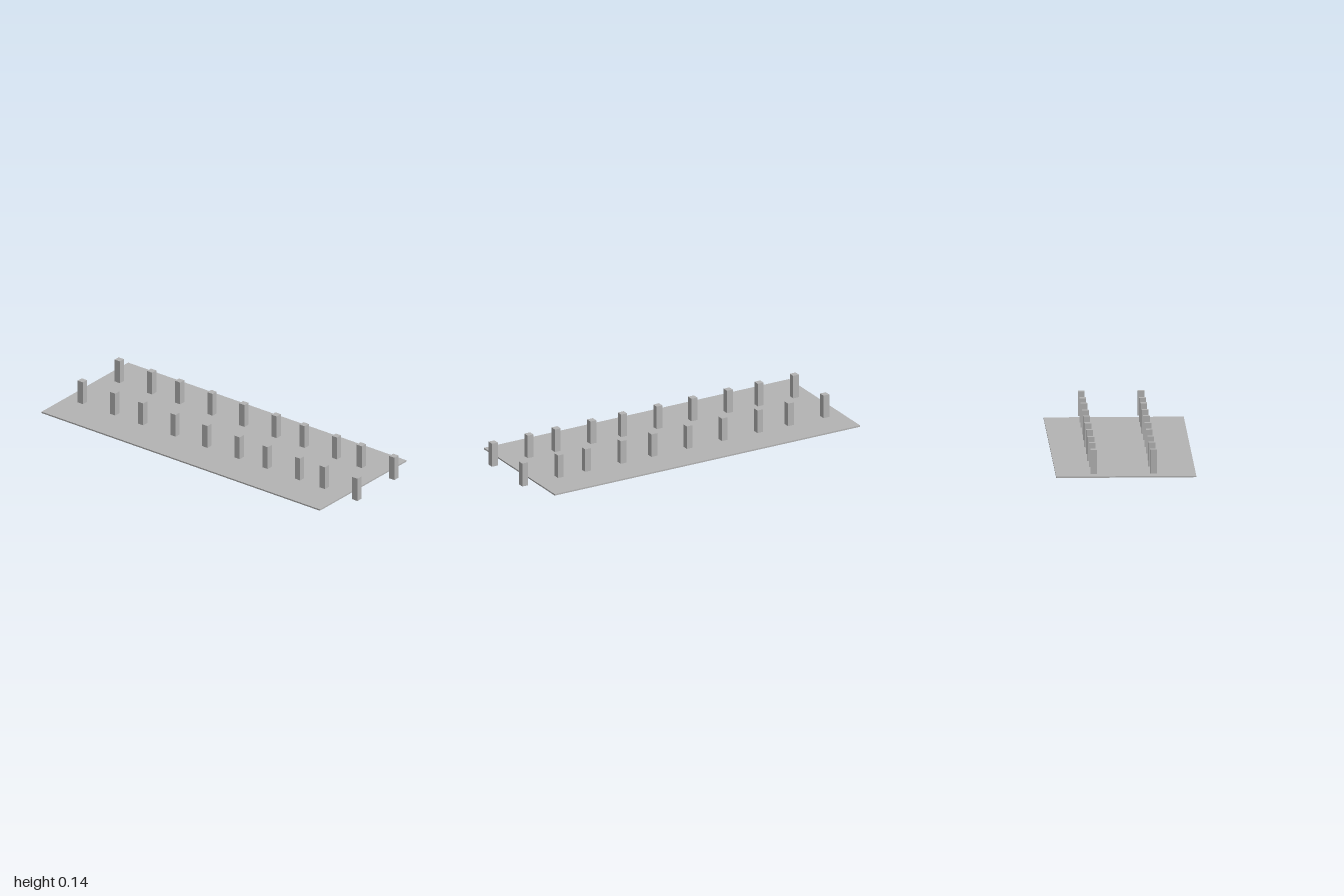
import * as THREE from 'three';

export function createModel() {
  const model = new THREE.Group();
  const grey = new THREE.MeshStandardMaterial({ color: 0xb3b3b3 });
  grey.name = 'plain grey';

  // Thin ground slab, stopping short of the front pair of posts
  const back = -1, front = 0.907, thickness = 0.008;
  const slab = new THREE.Mesh(new THREE.BoxGeometry(0.755, thickness, front - back), grey);
  slab.name = 'baseSlab';
  slab.position.set(0, thickness / 2, (back + front) / 2);
  model.add(slab);

  // Two rows of square posts, slightly sunk into the slab
  const postBottom = 0.005, postTop = 0.139, postWidth = 0.036;
  const postGeometry = new THREE.BoxGeometry(postWidth, postTop - postBottom, postWidth);
  const rows = { rightPost: -0.15, leftPost: 0.172 };
  const stations = [-0.899, -0.678, -0.486, -0.264, -0.046, 0.175, 0.367, 0.589, 0.759, 0.982];
  for (const [name, x] of Object.entries(rows)) {
    stations.forEach((z, i) => {
      const post = new THREE.Mesh(postGeometry, grey);
      post.name = `${name}${i + 1}`;
      post.position.set(x, (postBottom + postTop) / 2, z);
      model.add(post);
    });
  }
  return model;
}
